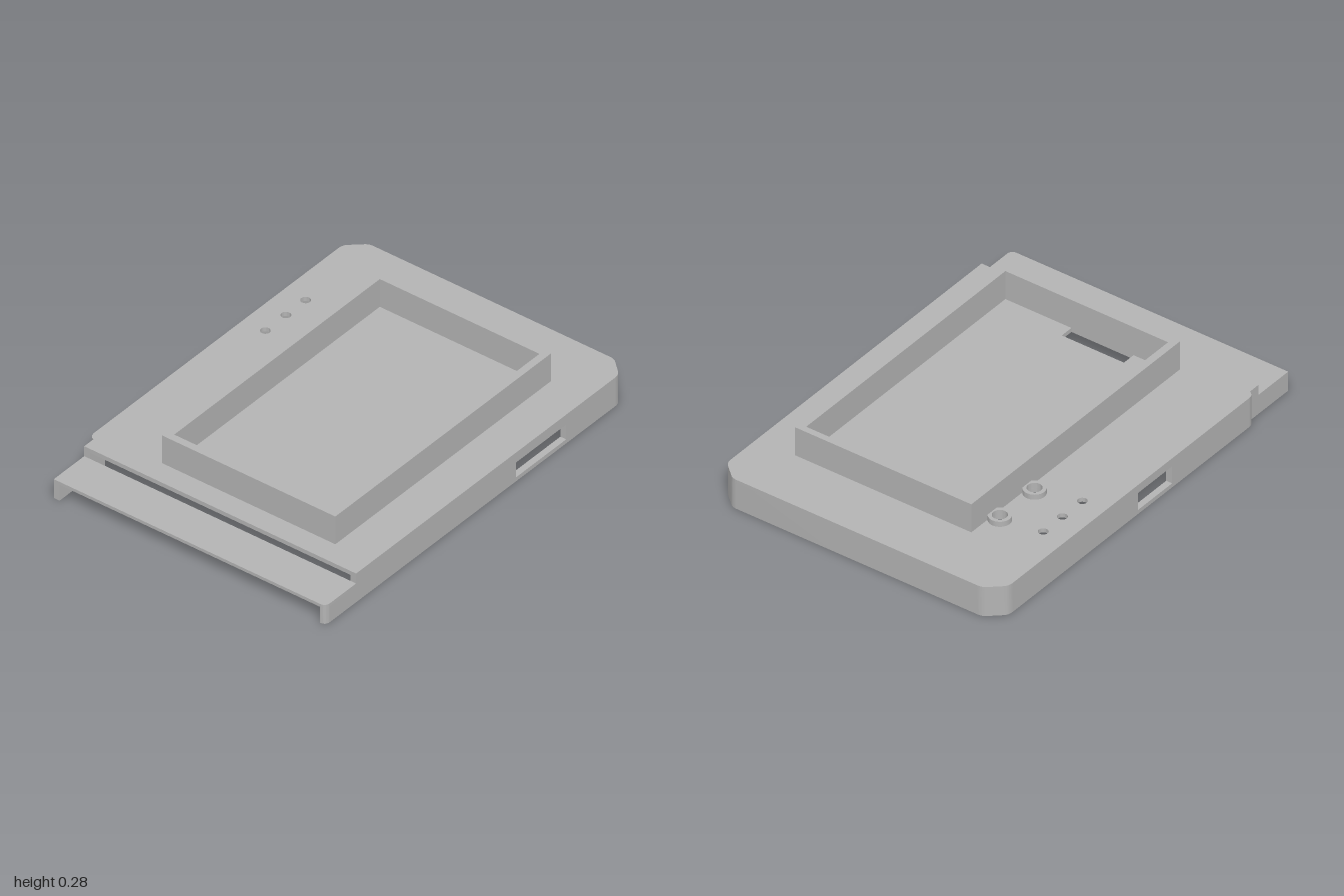
import * as THREE from 'three';
import { toCreasedNormals } from 'three/addons/utils/BufferGeometryUtils.js';

const grey = new THREE.MeshStandardMaterial({ color: 0xb3b3b3 });
grey.name = 'grey plastic';

const WALL = 0.03, PLATE_Y = 0.125, TOP_Y = 0.145;

const poly = (pts) => new THREE.Shape(pts.map(([x, y]) => new THREE.Vector2(x, y)));
const rect = (x0, x1, y0, y1) => poly([[x0, y0], [x1, y0], [x1, y1], [x0, y1]]);
const circle = (x, y, r) => new THREE.Shape().absarc(x, y, r, 0, Math.PI * 2);

function extrude(shape, depth) {
  const geo = new THREE.ExtrudeGeometry(shape, { depth, bevelEnabled: false, curveSegments: 16 });
  return toCreasedNormals(geo, 0.6);
}

export function createModel() {
  const group = new THREE.Group();
  const add = (name, geo, x = 0, y = 0, z = 0) => {
    const mesh = new THREE.Mesh(geo, grey);
    mesh.name = name;
    mesh.position.set(x, y, z);
    group.add(mesh);
  };
  // Plan shape (x, z) raised between two heights
  const slab = (name, shape, y0, y1, holes = []) => {
    shape.holes.push(...holes);
    add(name, extrude(shape, y1 - y0).rotateX(Math.PI / 2), 0, y1, 0);
  };
  // Side profile (z, y) given thickness along x
  const sideWall = (name, shape, xMax, holes = []) => {
    shape.holes.push(...holes);
    add(name, extrude(shape, WALL).rotateY(-Math.PI / 2), xMax, 0, 0);
  };

  // Softened chamfers of the back corners, traced from -x to +x, inset by d
  const backEdge = (s, d) => {
    const x = 0.715 - d, z = -1 + d, k = d * 0.4;
    s.lineTo(-x, -0.9);
    s.quadraticCurveTo(-x, -0.925 + k, -0.7 + d, -0.94 + k);
    s.lineTo(-0.65 + k, -0.985 + d);
    s.quadraticCurveTo(-0.635 + k, z, -0.61, z);
    s.lineTo(0.61, z);
    s.quadraticCurveTo(0.635 - k, z, 0.65 - k, -0.985 + d);
    s.lineTo(0.7 - d, -0.94 + k);
    s.quadraticCurveTo(x, -0.925 + k, x, -0.9);
  };

  // Top plate with ribbon slot, button holes and indicator holes
  const plate = new THREE.Shape().moveTo(-0.69, 0.8);
  plate.lineTo(-0.69, 0.74);
  plate.quadraticCurveTo(-0.715, 0.73, -0.715, 0.7);
  backEdge(plate, 0);
  plate.lineTo(0.715, 0.8);
  const buttonZ = [-0.58, -0.345];
  slab('topPlate', plate, PLATE_Y, TOP_Y, [
    rect(-0.16, 0.155, 0.595, 0.66),
    ...buttonZ.map((z) => circle(-0.41, z, 0.033)),
    ...[-0.54, -0.41, -0.275].map((z) => circle(-0.6, z, 0.022)),
  ]);

  // Back wall wrapping both corners
  const outer = new THREE.Shape().moveTo(-0.715, -0.899);
  backEdge(outer, 0);
  const inner = new THREE.Shape().moveTo(-0.685, -0.899);
  backEdge(inner, WALL);
  slab('backWall', poly([
    ...outer.getPoints(8).slice(1).map((p) => [p.x, p.y]),
    ...inner.getPoints(8).slice(1).reverse().map((p) => [p.x, p.y]),
  ]), 0, PLATE_Y);

  // Side walls with port windows
  sideWall('leftWall', poly([[-0.9, 0], [0.97, 0], [0.97, 0.08], [0.8, 0.08], [0.8, PLATE_Y], [-0.9, PLATE_Y]]),
    0.715, [rect(-0.58, -0.25, 0.02, 0.095)]);
  sideWall('rightWall', rect(-0.9, 0.7, 0, PLATE_Y), -0.685, [rect(-0.05, 0.18, 0.02, 0.105)]);
  sideWall('rightFrontWall', poly([[0.74, 0], [1, 0], [1, 0.08], [0.8, 0.08], [0.8, PLATE_Y], [0.74, PLATE_Y]]), -0.66);

  // Jog between the two right wall sections
  const jog = new THREE.Shape().moveTo(-0.66, 0.7);
  jog.lineTo(-0.715, 0.7);
  jog.quadraticCurveTo(-0.715, 0.73, -0.69, 0.74);
  jog.lineTo(-0.66, 0.74);
  slab('wallJog', jog, 0, PLATE_Y);

  // Rounded front corner
  const corner = new THREE.Shape().moveTo(0.685, 0.97);
  corner.lineTo(0.715, 0.97);
  corner.quadraticCurveTo(0.715, 1, 0.685, 1);
  slab('frontCorner', corner, 0, 0.08);

  // Low front ledge
  const ledge = new THREE.Shape().moveTo(-0.69, 0.8);
  ledge.lineTo(0.715, 0.8);
  ledge.lineTo(0.715, 0.97);
  ledge.quadraticCurveTo(0.715, 1, 0.685, 1);
  ledge.lineTo(-0.69, 1);
  slab('frontLedge', ledge, 0.08, 0.095);

  // Raised screen frame
  slab('screenFrame', rect(-0.37, 0.525, -0.72, 0.695), TOP_Y, 0.285, [rect(-0.335, 0.49, -0.69, 0.66)]);

  // Button collars
  for (const z of buttonZ) {
    slab('buttonCollar', circle(-0.41, z, 0.05), TOP_Y, 0.17, [circle(-0.41, z, 0.033)]);
  }

  // Board standoffs with locating pins
  for (const side of [-1, 1]) {
    for (const [x, z] of [[0.5, 0.59], [0.63, 0.28], [0.63, -0.76]]) {
      add('standoff', new THREE.CylinderGeometry(0.065, 0.065, 0.095, 32), side * x, 0.0775, z);
      add('standoffPin', new THREE.CylinderGeometry(0.025, 0.025, 0.03, 20), side * x, 0.015, z);
    }
  }
  return group;
}
